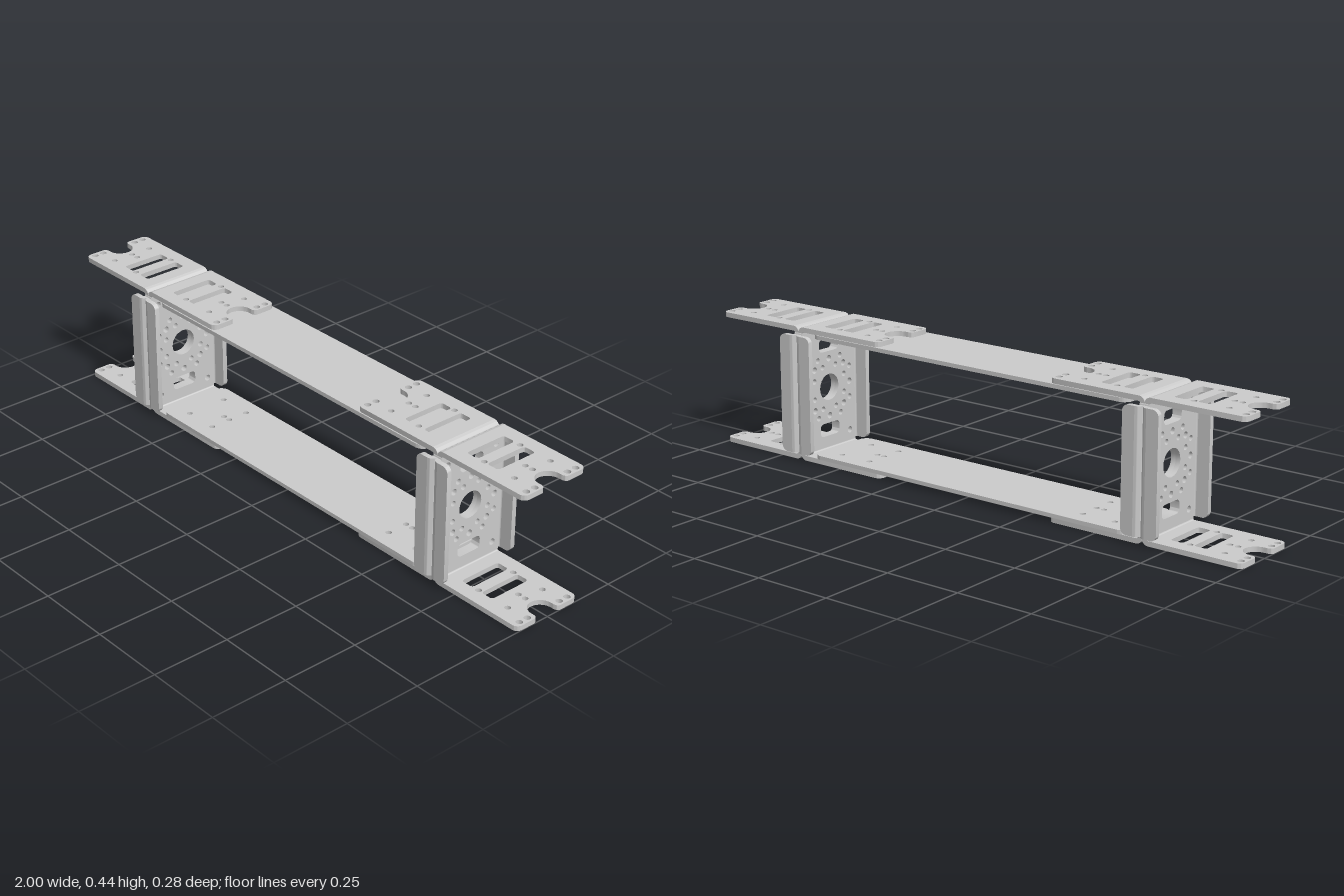
import * as THREE from 'three';
import { toCreasedNormals } from 'three/addons/utils/BufferGeometryUtils.js';

const T = 0.016;      // sheet thickness
const R = 0.02;       // outer bend radius
const H = 0.22;       // half height of the frame
const JOINT_X = 0.665; // plane where two brackets meet
const material = new THREE.MeshStandardMaterial({ color: 0xcccccc });

function extrude(shape, depth) {
  const geo = new THREE.ExtrudeGeometry(shape, { depth, bevelEnabled: false, curveSegments: 10 });
  return toCreasedNormals(geo, 0.6);
}

function part(name, geometry, parent) {
  const mesh = new THREE.Mesh(geometry, material);
  mesh.name = name;
  parent.add(mesh);
  return mesh;
}

// Rounded rectangle outline; works for both shapes and holes
function roundRect(path, x0, y0, x1, y1, r) {
  path.moveTo(x0 + r, y0);
  path.lineTo(x1 - r, y0);
  path.absarc(x1 - r, y0 + r, r, -Math.PI / 2, 0);
  path.lineTo(x1, y1 - r);
  path.absarc(x1 - r, y1 - r, r, 0, Math.PI / 2);
  path.lineTo(x0 + r, y1);
  path.absarc(x0 + r, y1 - r, r, Math.PI / 2, Math.PI);
  path.lineTo(x0, y0 + r);
  path.absarc(x0 + r, y0 + r, r, Math.PI, Math.PI * 1.5);
  return path;
}

function drill(shape, x, y, r) {
  shape.holes.push(new THREE.Path().absarc(x, y, r, 0, Math.PI * 2, true));
}

// Upright web with bore, bolt circles and two slots
function webGeometry() {
  const shape = roundRect(new THREE.Shape(), -0.122, -0.2, 0.122, 0.2, 0.003);
  drill(shape, 0, 0, 0.0437);
  for (const s of [-1, 1]) {
    shape.holes.push(roundRect(new THREE.Path(), -0.0446, s * 0.141 - 0.0215, 0.0446, s * 0.141 + 0.0215, 0.014));
    for (const z of [-0.0955, 0.0955]) drill(shape, z, s * 0.165, 0.0107);
  }
  const polar = (radius, angle, r) => drill(shape, radius * Math.cos(angle), radius * Math.sin(angle), r);
  for (let i = 0; i < 8; i++) polar(0.0955, i * Math.PI / 4, 0.0107);
  for (let i = 0; i < 4; i++) {
    for (const s of [-1, 1]) {
      const quarter = i * Math.PI / 2;
      polar(0.109, quarter + s * 0.496, 0.0094);
      polar(0.0755, quarter + s * 0.412, 0.0092);
    }
  }
  return extrude(shape, T).rotateY(Math.PI / 2);
}

// Holes shared by the mounting flange and the long plate below it
const BOLTS = [[0.131, 0.07], [0.131, -0.07], [0.247, 0.07], [0.247, -0.07], [0.22, 0], [0.247, 0]];

// Long mounting flange with slots, bolt holes and a notched end
function flangeGeometry() {
  const end = 0.335, w = 0.121, c = 0.02;
  const shape = new THREE.Shape();
  shape.moveTo(R, -w);
  shape.lineTo(end - c, -w);
  shape.absarc(end - c, -w + c, c, -Math.PI / 2, 0);
  shape.lineTo(end, -0.055);
  shape.quadraticCurveTo(end, -0.04, end - 0.018, -0.04);
  shape.absarc(0.31, 0, 0.04, -Math.PI / 2, Math.PI / 2, true);
  shape.lineTo(end - 0.018, 0.04);
  shape.quadraticCurveTo(end, 0.04, end, 0.055);
  shape.lineTo(end, w - c);
  shape.absarc(end - c, w - c, c, 0, Math.PI / 2);
  shape.lineTo(R, w);
  for (const x of [0.065, 0.145]) {
    shape.holes.push(roundRect(new THREE.Path(), x, -0.0725, x + 0.043, 0.0725, 0.01));
  }
  for (const [x, z] of BOLTS) drill(shape, x, z, 0.0095);
  for (const z of [-0.096, -0.064, 0.064, 0.096]) drill(shape, 0.318, z, 0.0105);
  return extrude(shape, T).rotateX(-Math.PI / 2);
}

// Quarter-round bend, its centre at (R, y), running along z
function bendGeometry(y, length) {
  const shape = new THREE.Shape();
  shape.absarc(R, y, R, Math.PI / 2, Math.PI);
  shape.absarc(R, y, R - T, Math.PI, Math.PI / 2, true);
  return extrude(shape, length).translate(0, 0, -length / 2);
}

// Plain side lip with rounded outer corners
function lipGeometry() {
  const x = 0.062, h = 0.194, r = 0.02;
  const shape = new THREE.Shape();
  shape.moveTo(R, -h);
  shape.lineTo(x - r, -h);
  shape.absarc(x - r, -h + r, r, -Math.PI / 2, 0);
  shape.absarc(x - r, h - r, r, 0, Math.PI / 2);
  shape.lineTo(R, h);
  return extrude(shape, T);
}

const geos = () => ({
  web: webGeometry(),
  flange: flangeGeometry().translate(0, H - T, 0),
  flangeBend: bendGeometry(H - R, 0.242),
  lip: lipGeometry().translate(0, 0, 0.142 - T),
  lipBend: bendGeometry(0.122, 0.388).rotateX(Math.PI / 2),
});

// Folded bracket opening toward +x, centred on y = 0
function makeBracket(g) {
  const bracket = new THREE.Group();
  part('web', g.web, bracket);
  for (const turn of [0, Math.PI]) {
    const half = new THREE.Group();
    half.name = turn ? 'lowerFolds' : 'upperFolds';
    half.rotation.x = turn;
    part('mountingFlange', g.flange, half);
    part('flangeBend', g.flangeBend, half);
    part('sideLip', g.lip, half);
    part('sideBend', g.lipBend, half);
    bracket.add(half);
  }
  return bracket;
}

// Long plate joining both ends
function beamGeometry() {
  const shape = roundRect(new THREE.Shape(), -0.607, -0.125, 0.607, 0.125, 0.03);
  for (const s of [-1, 1]) {
    for (const [x, z] of BOLTS) drill(shape, s * (JOINT_X - x), z, 0.0095);
  }
  return extrude(shape, 0.013).rotateX(-Math.PI / 2);
}

export function createModel() {
  const model = new THREE.Group();
  model.name = 'bracketFrame';
  const g = geos();

  // Two brackets back to back at each end
  for (const side of [-1, 1]) {
    for (const facing of [-1, 1]) {
      const bracket = makeBracket(g);
      bracket.name = (side > 0 ? 'left' : 'right') + (side === facing ? 'Outer' : 'Inner') + 'Bracket';
      bracket.position.set(side * JOINT_X, H, 0);
      bracket.rotation.y = facing > 0 ? 0 : Math.PI;
      model.add(bracket);
    }
  }

  // Plates lie against the inside of the inner flanges
  const beam = beamGeometry();
  part('upperBeam', beam, model).position.y = 2 * H - T - 0.013;
  part('lowerBeam', beam, model).position.y = T;
  return model;
}
